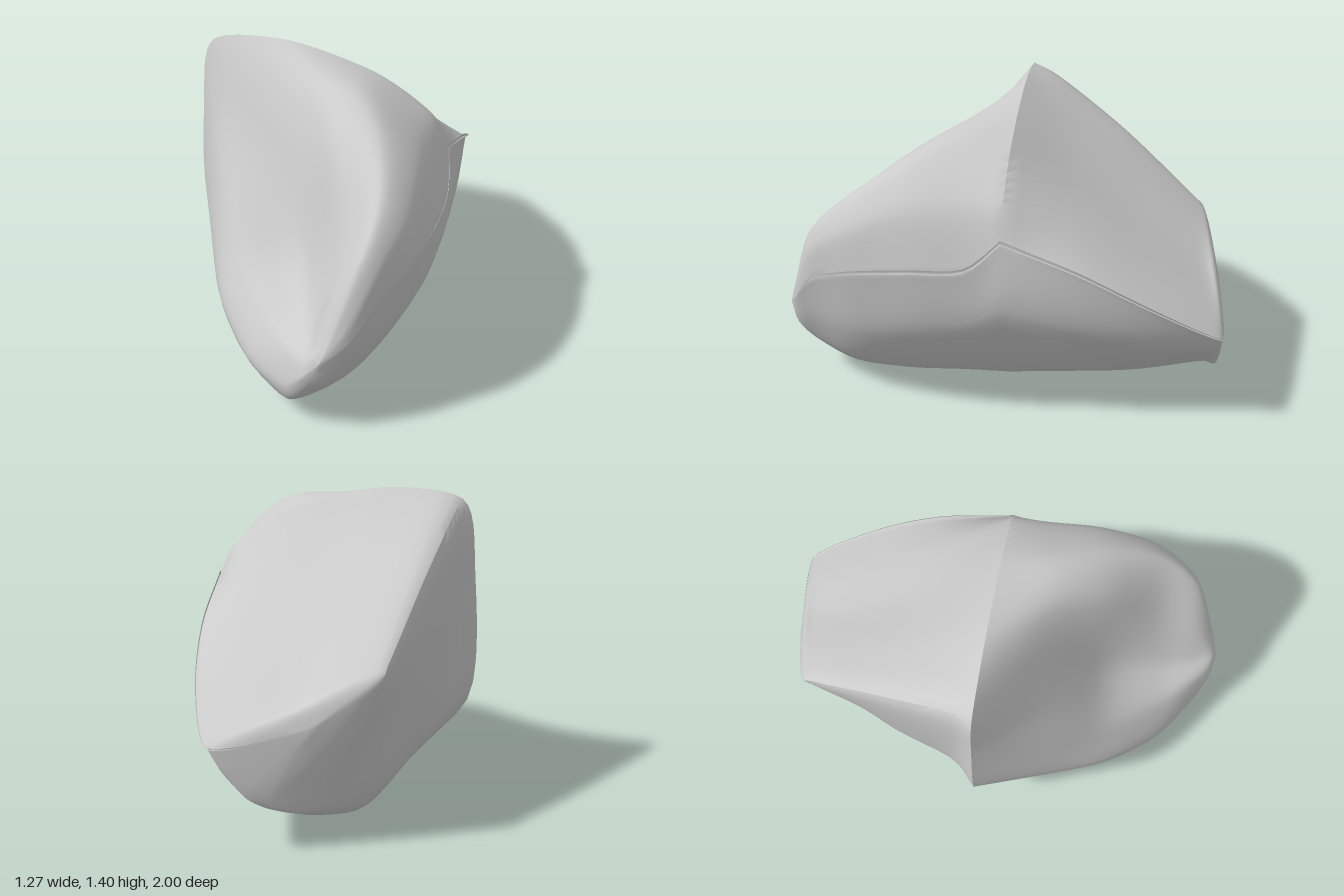
import * as THREE from 'three';
import { toCreasedNormals } from 'three/addons/utils/BufferGeometryUtils.js';

const RING = 66;   // points around the stone
const STEPS = 24;  // rings along each half
const EDGE = 3;    // section point kept sharp: upper edge of the right side

// Cross-sections: z, slant of z along x, then x,y pairs counter-clockwise
// from the bottom: bottom, right side, top right, top left, left side.
const section = (z, slant, ...xy) => {
  const pts = [];
  for (let i = 0; i < xy.length; i += 2) {
    pts.push(new THREE.Vector3(xy[i], xy[i + 1], z + slant * xy[i]));
  }
  return pts;
};
const tip = (x, y, z) => Array.from({ length: 10 }, () => new THREE.Vector3(x, y, z));

// Ridge line where the sloping back facet meets the front
const crest = section(-0.07, 0.2, -0.12, 0, 0.28, 0.14, 0.555, 0.58, 0.54, 0.95, 0.46, 1.11,
  0.2, 1.28, -0.2, 1.385, -0.555, 1.345, -0.615, 1.05, -0.595, 0.4);

// Sloping, slightly hollow back with an undercut lower left
const back = [
  tip(0.15, 0.55, -1),
  section(-0.97, 0, 0.3, 0.24, 0.4, 0.26, 0.47, 0.36, 0.51, 0.46, 0.4, 0.53,
    0.2, 0.62, 0, 0.71, -0.13, 0.74, -0.02, 0.55, 0.15, 0.35),
  section(-0.9, 0, 0.14, 0.14, 0.33, 0.2, 0.52, 0.37, 0.59, 0.49, 0.42, 0.57,
    0.2, 0.65, -0.02, 0.77, -0.19, 0.82, -0.14, 0.6, 0.03, 0.3),
  section(-0.6, 0, -0.07, 0.03, 0.28, 0.13, 0.56, 0.43, 0.62, 0.66, 0.42, 0.76,
    0.15, 0.87, -0.12, 1.02, -0.35, 1.08, -0.34, 0.75, -0.23, 0.25),
  section(-0.3, 0, -0.11, 0.02, 0.28, 0.13, 0.57, 0.5, 0.6, 0.82, 0.42, 0.95,
    0.14, 1.09, -0.17, 1.24, -0.5, 1.29, -0.51, 0.85, -0.41, 0.27),
  crest,
];

// Front with the right ridge, the groove and the lower left lobe
const front = [
  crest,
  section(0.2, 0, -0.12, 0, 0.25, 0.14, 0.51, 0.5, 0.54, 0.82, 0.44, 1.09,
    0.18, 1.29, -0.03, 1.26, -0.24, 0.93, -0.47, 0.74, -0.52, 0.33),
  section(0.45, 0, -0.12, 0, 0.22, 0.14, 0.45, 0.47, 0.5, 0.8, 0.42, 1.06,
    0.24, 1.21, 0.05, 1.11, -0.1, 0.63, -0.36, 0.52, -0.46, 0.29),
  section(0.7, 0, -0.12, 0.01, 0.15, 0.15, 0.33, 0.42, 0.41, 0.75, 0.38, 0.95,
    0.26, 1.06, 0.12, 0.86, -0.04, 0.49, -0.22, 0.39, -0.32, 0.2),
  section(0.88, 0, -0.1, 0.12, 0.05, 0.2, 0.18, 0.4, 0.27, 0.65, 0.27, 0.8,
    0.2, 0.86, 0.08, 0.66, -0.01, 0.44, -0.1, 0.36, -0.15, 0.2),
  section(0.97, 0, -0.02, 0.27, 0.04, 0.29, 0.09, 0.37, 0.14, 0.48, 0.13, 0.53,
    0.09, 0.53, 0.05, 0.48, 0, 0.42, -0.03, 0.36, -0.05, 0.3),
  tip(0.03, 0.4, 1),
];

// Smooth rings through a run of sections; the doubled point makes the sharp edge
function rings(sections) {
  const columns = sections[0].map((_, k) =>
    new THREE.CatmullRomCurve3(sections.map((s) => s[k]), false, 'catmullrom', 0.45));
  columns.splice(EDGE, 0, columns[EDGE]);
  return Array.from({ length: STEPS + 1 }, (_, i) => {
    const loop = new THREE.CatmullRomCurve3(
      columns.map((c) => c.getPoint(i / STEPS)), true, 'catmullrom', 0.4);
    return Array.from({ length: RING }, (_, j) => loop.getPoint(j / RING));
  });
}

function stoneGeometry() {
  const all = [...rings(back), ...rings(front).slice(1)];
  const index = [];
  for (let i = 0; i < all.length - 1; i++) {
    for (let j = 0; j < RING; j++) {
      const a = i * RING + j, b = i * RING + (j + 1) % RING;
      const c = a + RING, d = b + RING;
      if (i > 0) index.push(a, b, c);
      if (i < all.length - 2) index.push(b, d, c);
    }
  }
  const geometry = new THREE.BufferGeometry().setFromPoints(all.flat());
  geometry.setIndex(index);
  return toCreasedNormals(geometry, 0.6);
}

export function createModel() {
  const group = new THREE.Group();
  group.name = 'rock';
  const stone = new THREE.Mesh(stoneGeometry(),
    new THREE.MeshStandardMaterial({ color: 0xcccccc }));
  stone.name = 'stone';
  group.add(stone);
  return group;
}
